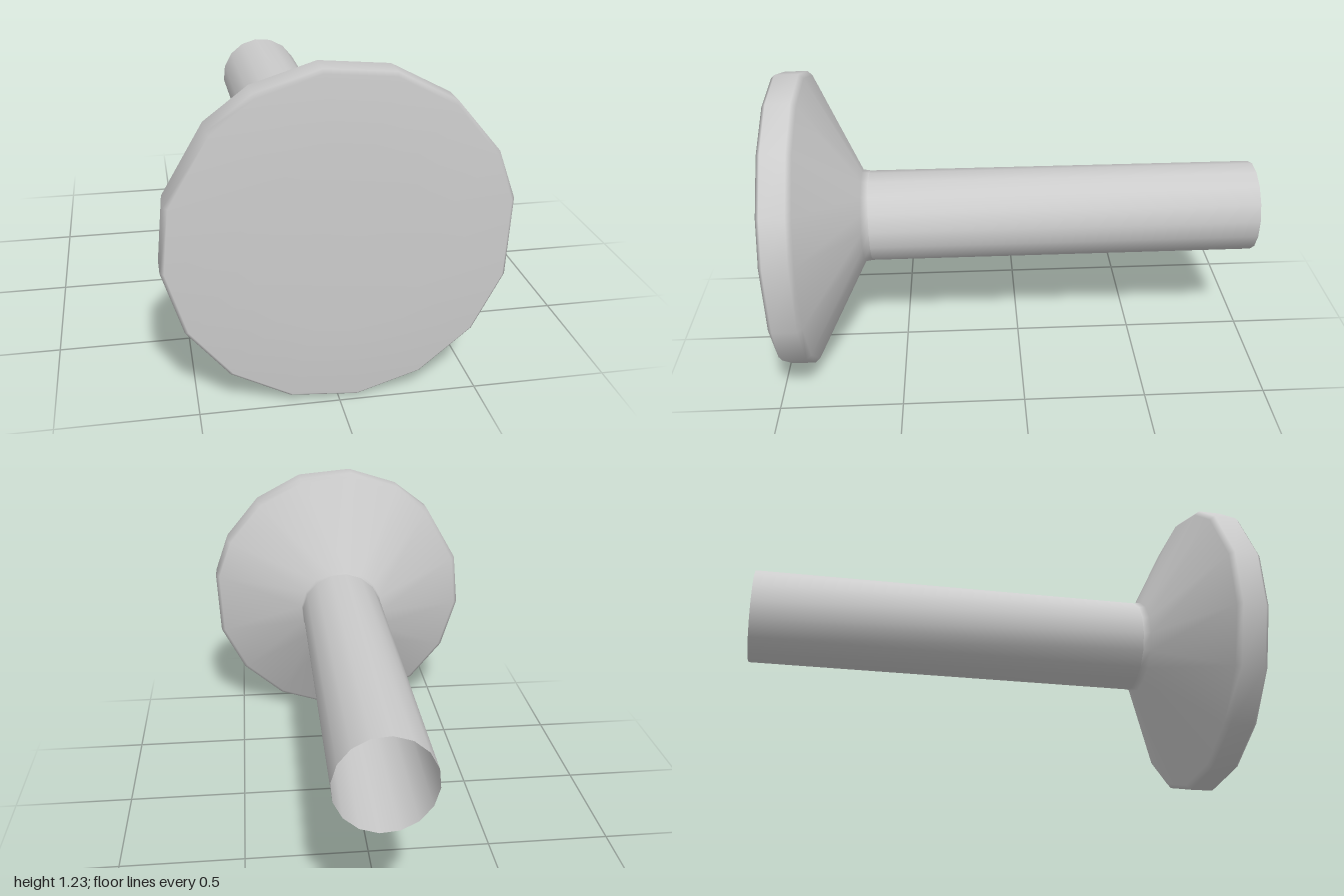
import * as THREE from 'three';
import { mergeVertices } from 'three/addons/utils/BufferGeometryUtils.js';

const SIDES = 16;
const CENTRE_Y = 0.62;

// Slightly uneven corner angles of the head's rim, in degrees
const RIM = [-173.8, -150.8, -128.7, -106.2, -83.6, -61.2, -38.4, -16.3,
  11, 28.6, 51.2, 73.3, 96.5, 118.8, 136.6, 163.7];

// Revolve a [radius, z] profile about the z axis, with smooth normals all round
function revolve(name, profile, material) {
  const points = profile.map(([r, z]) => new THREE.Vector2(r, z));
  let geo = new THREE.LatheGeometry(points, SIDES);
  const pos = geo.attributes.position;
  for (let i = 0; i <= SIDES; i++) {
    profile.forEach(([r, z], j) => {
      const k = i % SIDES;
      const degrees = r > 0.25 ? RIM[k] : RIM[0] + k * 360 / SIDES;
      const a = THREE.MathUtils.degToRad(degrees);
      pos.setXYZ(i * profile.length + j, r * Math.cos(a), CENTRE_Y + r * Math.sin(a), z);
    });
  }
  geo.deleteAttribute('uv');
  geo.deleteAttribute('normal');
  geo = mergeVertices(geo, 1e-5);
  geo.computeVertexNormals();
  const mesh = new THREE.Mesh(geo, material);
  mesh.name = name;
  return mesh;
}

export function createModel() {
  const group = new THREE.Group();
  group.name = 'mushroomKnob';
  const material = new THREE.MeshStandardMaterial({ color: 0xcccccc, side: THREE.DoubleSide });

  // Hollow shaft, open at the back
  group.add(revolve('shaft', [[0.19, -1], [0.19, 0.62]], material));

  // Flared head: neck, cone, softened rim and faintly domed face
  group.add(revolve('head', [
    [0.19, 0.62], [0.195, 0.65], [0.6, 0.855], [0.618, 0.875],
    [0.617, 0.97], [0.603, 0.985], [0.33, 0.994], [0, 1],
  ], material));

  return group;
}
